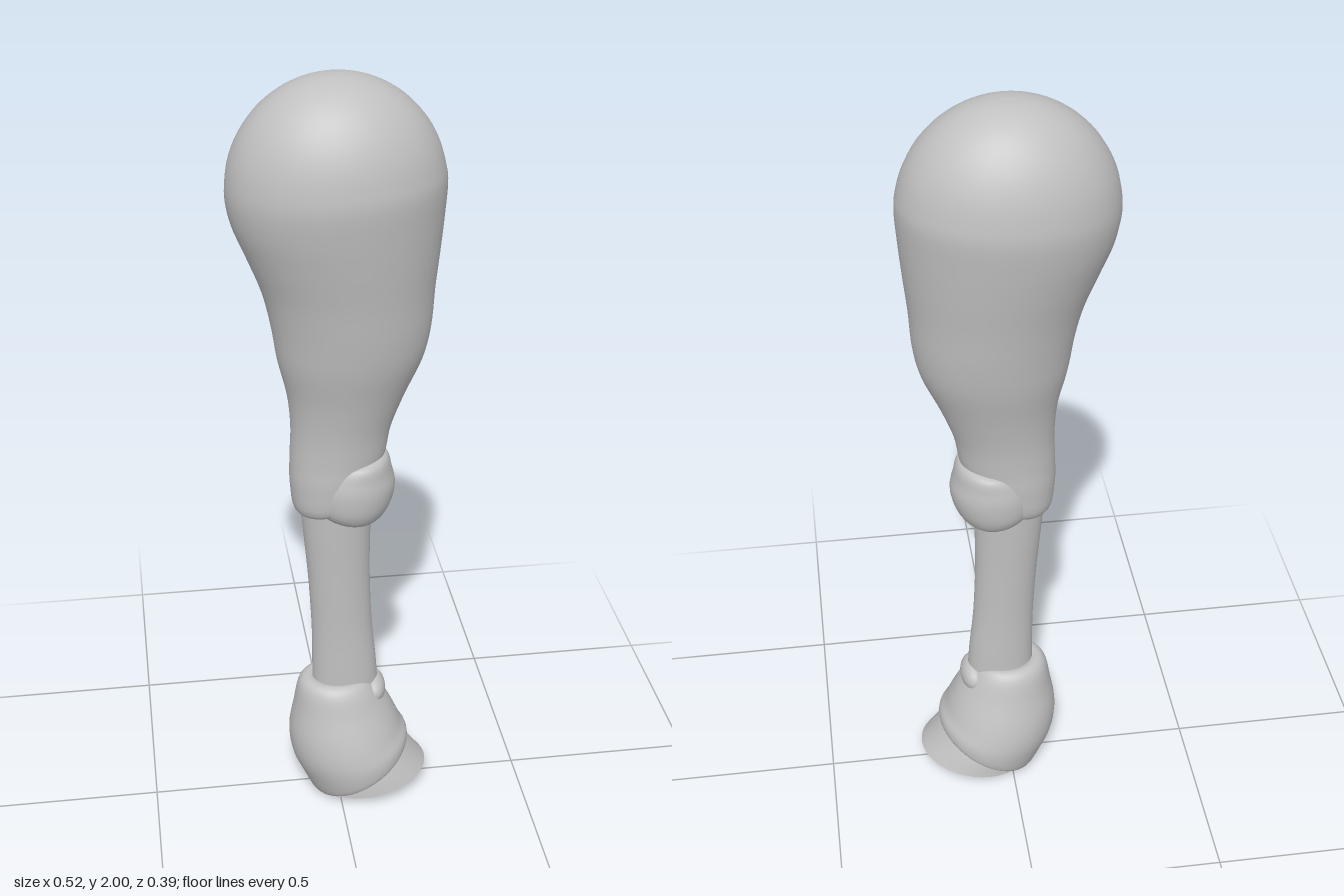
import * as THREE from 'three';

const SIDES = 40;

// Skin of elliptical rings, listed top to bottom.
// Each section: [backX, backY, frontX, frontY, halfWidthZ, frontDip]
function loft(sections, steps = 5) {
  const back = new THREE.CatmullRomCurve3(
    sections.map(s => new THREE.Vector3(s[0], s[1], s[4])), false, 'catmullrom');
  const front = new THREE.CatmullRomCurve3(
    sections.map(s => new THREE.Vector3(s[2], s[3], s[5] || 0)), false, 'catmullrom');
  const rows = (sections.length - 1) * steps;
  const positions = [], index = [];
  for (let i = 0; i <= rows; i++) {
    const b = back.getPoint(i / rows), f = front.getPoint(i / rows);
    for (let j = 0; j < SIDES; j++) {
      const t = (j / SIDES) * Math.PI * 2, c = Math.cos(t);
      const dip = f.z * Math.max(0, c) ** 4;
      positions.push(
        (b.x + f.x) / 2 + ((f.x - b.x) / 2) * c,
        (b.y + f.y) / 2 + ((f.y - b.y) / 2) * c - dip,
        b.z * Math.sin(t));
      if (i < rows) {
        const k = (j + 1) % SIDES, a = i * SIDES, d = a + SIDES;
        index.push(a + j, a + k, d + j, a + k, d + k, d + j);
      }
    }
  }
  const geometry = new THREE.BufferGeometry();
  geometry.setAttribute('position', new THREE.Float32BufferAttribute(positions, 3));
  geometry.setIndex(index);
  geometry.computeVertexNormals();
  return geometry;
}

export function createModel() {
  const group = new THREE.Group();
  const grey = new THREE.MeshStandardMaterial({ color: 0xc0c0c0, side: THREE.DoubleSide });
  grey.name = 'plain grey';
  const add = (name, geometry) => {
    const mesh = new THREE.Mesh(geometry, grey);
    mesh.name = name;
    group.add(mesh);
    return mesh;
  };

  // Upper leg: domed top, then tapering muscle down behind the knee
  const dome = [];
  for (let i = 0; i < 8; i++) {
    const a = (Math.PI / 2) * (1 - i / 8), c = i ? Math.cos(a) : 0.001;
    const y = 1.73 + 0.27 * Math.sin(a);
    dome.push([-0.26 * c, y, 0.26 * c, y, 0.196 * c]);
  }
  add('upperLeg', loft([
    ...dome,
    [-0.26, 1.72, 0.26, 1.74, 0.197],
    [-0.247, 1.65, 0.255, 1.66, 0.189],
    [-0.215, 1.57, 0.247, 1.57, 0.176],
    [-0.18, 1.48, 0.238, 1.48, 0.161],
    [-0.159, 1.39, 0.231, 1.38, 0.148],
    [-0.145, 1.3, 0.214, 1.3, 0.134],
    [-0.122, 1.2, 0.17, 1.2, 0.111],
    [-0.115, 1.11, 0.137, 1.11, 0.096],
    [-0.118, 1.03, 0.122, 1.03, 0.091],
    [-0.118, 0.95, 0.1, 0.98, 0.09],
    [-0.1, 0.875, 0.06, 0.9, 0.077],
    [-0.02, 0.88, 0.0, 0.88, 0.01],
  ]));

  // Knee: rounded cap with a flattened top
  add('knee', loft([
    [0.05, 1.027, 0.052, 1.027, 0.001],
    [-0.02, 1.02, 0.122, 1.035, 0.085],
    [-0.06, 0.98, 0.142, 0.985, 0.103],
    [-0.072, 0.93, 0.149, 0.94, 0.107],
    [-0.06, 0.885, 0.133, 0.885, 0.099],
    [-0.02, 0.857, 0.1, 0.85, 0.072],
    [0.04, 0.845, 0.042, 0.845, 0.001],
  ]));

  // Shin
  add('shin', loft([
    [-0.093, 0.9, 0.092, 0.9, 0.066],
    [-0.085, 0.8, 0.088, 0.8, 0.063],
    [-0.074, 0.67, 0.088, 0.67, 0.059],
    [-0.066, 0.52, 0.095, 0.52, 0.056],
    [-0.065, 0.4, 0.107, 0.4, 0.058],
    [-0.065, 0.28, 0.115, 0.28, 0.06],
  ]));

  // Fetlock: flared sleeve with a slanted, rolled lower rim
  add('fetlock', loft([
    [-0.03, 0.34, 0.06, 0.34, 0.04, 0.02],
    [-0.075, 0.357, 0.092, 0.357, 0.065, 0.025],
    [-0.102, 0.337, 0.11, 0.335, 0.092, 0.015],
    [-0.116, 0.27, 0.14, 0.275, 0.115],
    [-0.129, 0.19, 0.163, 0.228, 0.138],
    [-0.122, 0.12, 0.177, 0.195, 0.152],
    [-0.098, 0.06, 0.193, 0.167, 0.157],
    [-0.068, 0.002, 0.192, 0.14, 0.15],
    [-0.045, 0.02, 0.17, 0.137, 0.13],
  ]));

  // Small soft pad in the front notch of the fetlock
  const pad = add('fetlockPad', new THREE.SphereGeometry(1, 24, 16));
  pad.scale.set(0.035, 0.042, 0.062);
  pad.position.set(0.098, 0.308, 0);

  // Hoof with a flat sole
  const rim = [-0.058, 0.006, 0.247, 0.057, 0.138];
  add('hoof', loft([
    [-0.03, 0.045, 0.172, 0.158, 0.118],
    [-0.045, 0.025, 0.205, 0.11, 0.131],
    rim,
  ]));
  add('sole', loft([rim, [0.094, 0.0315, 0.095, 0.0315, 0.0005]], 1));

  return group;
}
